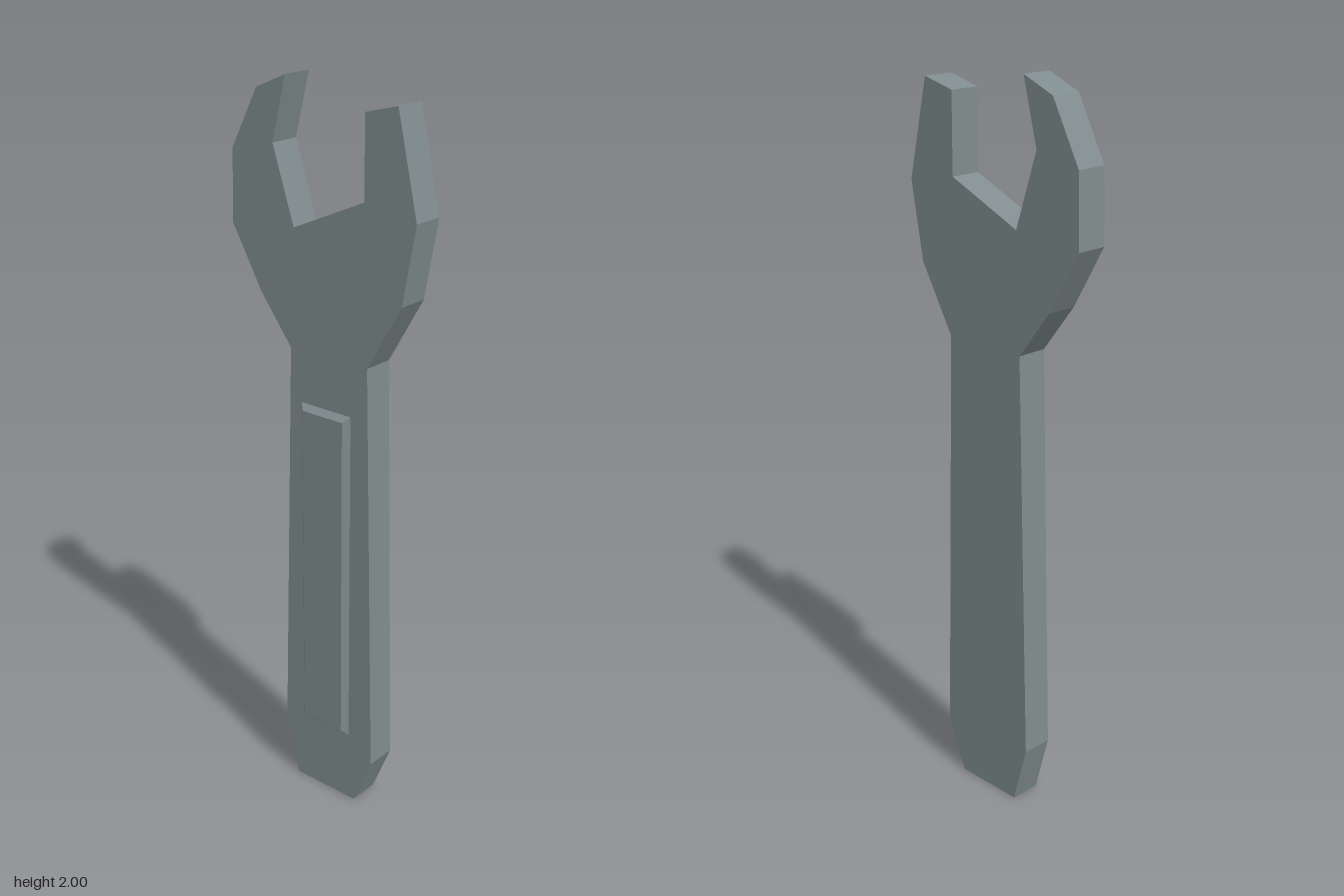
import * as THREE from 'three';

export function createModel() {
  const group = new THREE.Group();
  group.name = 'wrench';
  const steel = new THREE.MeshStandardMaterial({ color: 0x7f8c8d, flatShading: true });
  steel.name = 'steel grey';

  // Handle and open jaw: one outline, counter-clockwise from the bottom
  const outline = [
    [-0.085, 0], [0.12, 0], [0.18, 0.145], [0.152, 1.31], [0.256, 1.49], [0.295, 1.70],
    [0.235, 1.965], [0.138, 1.94], [0.138, 1.727], [-0.087, 1.628], [-0.154, 1.83], [-0.11, 2],
    [-0.205, 1.96], [-0.29, 1.80], [-0.295, 1.607], [-0.2, 1.44], [-0.1, 1.31], [-0.13, 0.17],
  ].map(([x, y]) => new THREE.Vector2(x, y));
  const back = -0.053, front = 0.035;
  const bodyGeometry = new THREE.ExtrudeGeometry(new THREE.Shape(outline), {
    depth: front - back, bevelEnabled: false,
  });
  bodyGeometry.translate(0, 0, back);
  const body = new THREE.Mesh(bodyGeometry, steel);
  body.name = 'handleAndJaw';
  group.add(body);

  // Raised grip panel: a box whose front face is drawn in to make sloping edges
  const width = 0.163, height = 0.96, rise = 0.016, inset = 0.015;
  const panelGeometry = new THREE.BoxGeometry(width, height, rise);
  const p = panelGeometry.attributes.position;
  for (let i = 0; i < p.count; i++) {
    if (p.getZ(i) > 0) {
      p.setX(i, p.getX(i) - Math.sign(p.getX(i)) * inset);
      p.setY(i, p.getY(i) - Math.sign(p.getY(i)) * inset);
    }
  }
  panelGeometry.computeVertexNormals();
  const panel = new THREE.Mesh(panelGeometry, steel);
  panel.name = 'gripPanel';
  panel.position.set(0.018, 0.687, front + rise / 2);
  group.add(panel);

  return group;
}
